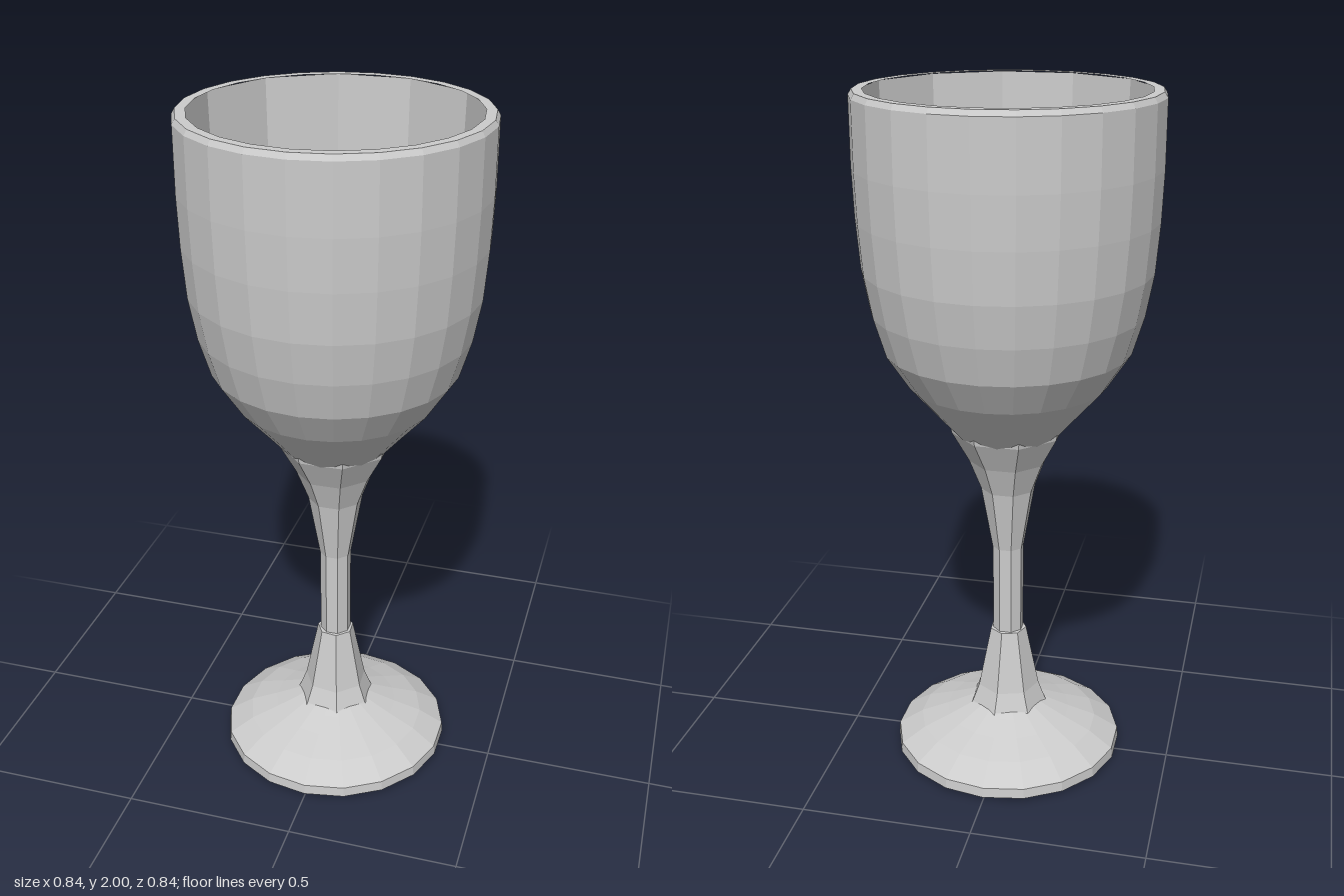
import * as THREE from 'three';

const material = new THREE.MeshStandardMaterial({ color: 0xcccccc, flatShading: true });

// Faceted turned part; the profile is a list of [radius, height].
// Profiles run upward on outer surfaces and downward on inner ones.
function turned(name, profile, sides, twist = 0) {
  const points = profile.map(([r, y]) => new THREE.Vector2(r, y));
  const mesh = new THREE.Mesh(new THREE.LatheGeometry(points, sides, twist), material);
  mesh.name = name;
  return mesh;
}

export function createModel() {
  const goblet = new THREE.Group();
  goblet.name = 'goblet';

  // Foot: hollow underside, thin edge, shallow cone rising to the stem
  goblet.add(turned('foot', [
    [0, 0.07], [0.09, 0.07], [0.2, 0.04], [0.33, 0], [0.345, 0.01], [0.342, 0.04],
    [0.27, 0.085], [0.19, 0.115], [0.13, 0.14], [0.06, 0.17], [0, 0.18],
  ], 18));

  // Stem: flared base, slim middle and a flare into the bowl
  const stem = new THREE.Group();
  stem.name = 'stem';
  stem.add(
    turned('stemBase', [[0.14, 0.11], [0.115, 0.15], [0.094, 0.205], [0.055, 0.395], [0, 0.4]], 7, 0.3),
    turned('stemShaft', [[0.046, 0.38], [0.046, 0.68]], 8, Math.PI / 8),
    turned('stemFlare', [[0, 0.665], [0.047, 0.67], [0.08, 0.86], [0.115, 0.95], [0.165, 1.04], [0.17, 1.07]], 8, Math.PI / 8),
  );
  goblet.add(stem);

  // Bowl: finely faceted outside, coarser planes inside
  const bowl = new THREE.Group();
  bowl.name = 'bowl';
  bowl.add(
    turned('bowlOuter', [
      [0.1, 0.97], [0.15, 1.035], [0.21, 1.105], [0.285, 1.19], [0.35, 1.29], [0.383, 1.4],
      [0.405, 1.52], [0.416, 1.66], [0.421, 1.8], [0.421, 1.985], [0.412, 2], [0.384, 2],
    ], 24),
    turned('bowlInner', [
      [0.402, 1.997], [0.395, 1.75], [0.375, 1.52], [0.335, 1.36], [0.25, 1.22], [0.14, 1.12], [0, 1.09],
    ], 12, Math.PI / 12),
  );
  goblet.add(bowl);

  return goblet;
}
